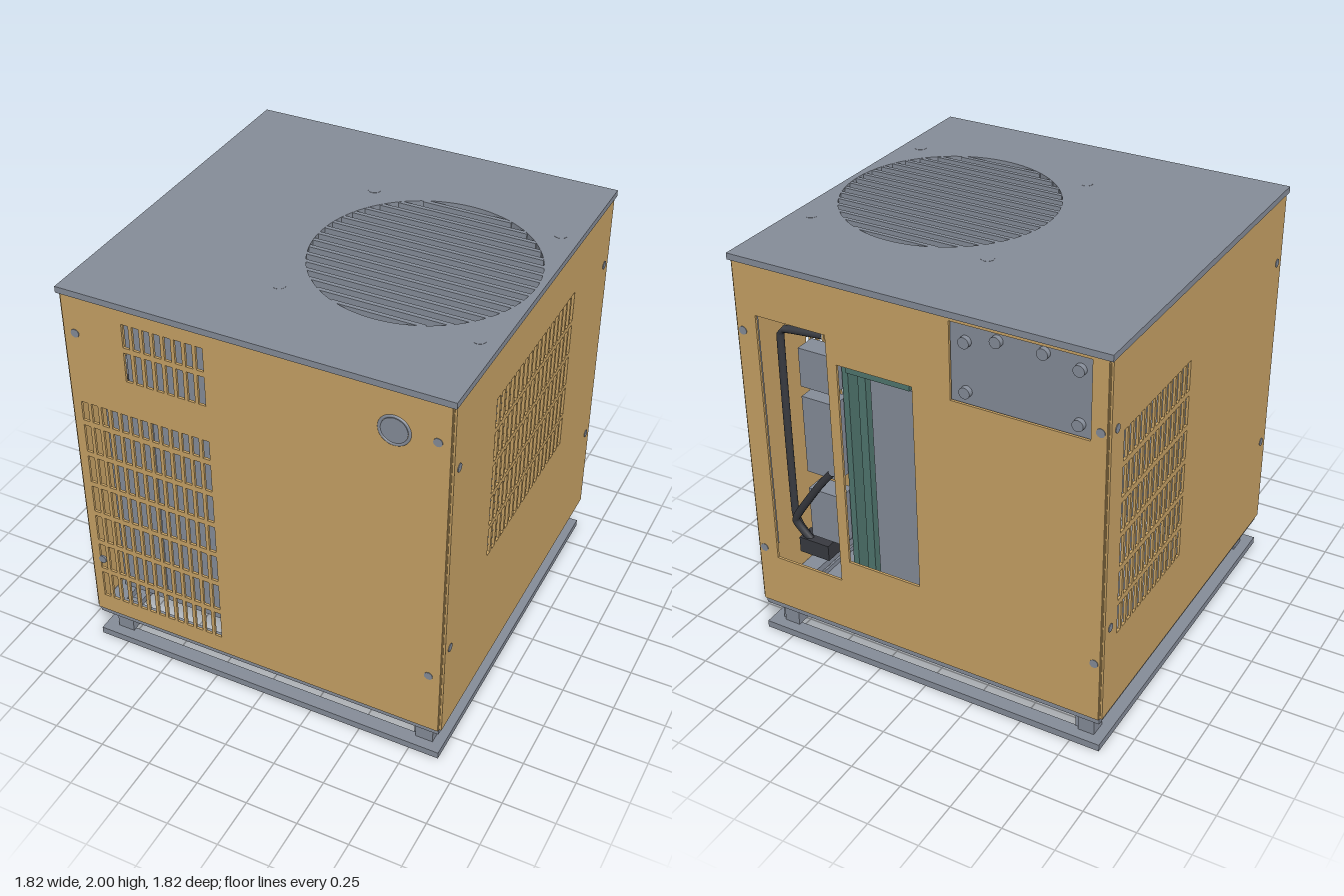
import * as THREE from 'three';

const mat = (name, color) => {
  const m = new THREE.MeshStandardMaterial({ color });
  m.name = name;
  return m;
};

export function createModel() {
  const ochre = mat('ochre panel', 0xc6a164);
  const grey = mat('steel grey', 0x858c98);
  const black = mat('black rubber', 0x383a40);
  const teal = mat('teal board', 0x4f756e);
  const model = new THREE.Group();

  const add = (name, geo, material, parent = model) => {
    const m = new THREE.Mesh(geo, material);
    m.name = name;
    parent.add(m);
    return m;
  };
  // box given by its minimum and maximum corners
  const box = (name, material, x0, x1, y0, y1, z0, z1, parent = model) => {
    const m = add(name, new THREE.BoxGeometry(x1 - x0, y1 - y0, z1 - z0), material, parent);
    m.position.set((x0 + x1) / 2, (y0 + y1) / 2, (z0 + z1) / 2);
    return m;
  };
  const rect = (path, x0, x1, y0, y1) => {
    path.moveTo(x0, y0);
    path.lineTo(x1, y0);
    path.lineTo(x1, y1);
    path.lineTo(x0, y1);
    path.closePath();
    return path;
  };
  // rows of upright slots; each row is [bottom, top]
  const slots = (u0, count, rows) => rows.flatMap(([b, t]) =>
    Array.from({ length: count }, (_, i) => [u0 + i * 0.0507, u0 + i * 0.0507 + 0.034, b, t]));
  const rowsUp = (y0, n, pitch, h) => Array.from({ length: n }, (_, i) => [y0 + i * pitch, y0 + i * pitch + h]);

  // flat case panel facing local +z, with rectangular holes and screws
  const T = 0.012, D = 0.904;
  const disc = (name, r, d, u, y, z, parent) => {
    const m = add(name, new THREE.CylinderGeometry(r, r, d, 24).rotateX(Math.PI / 2), grey, parent);
    m.position.set(u, y, z);
    return m;
  };
  const panel = (name, angle, holes, screws) => {
    const g = new THREE.Group();
    g.name = name;
    g.rotation.y = angle;
    const s = rect(new THREE.Shape(), -0.891, 0.891, 0.185, 1.97);
    for (const h of holes) s.holes.push(rect(new THREE.Path(), ...h));
    const geo = new THREE.ExtrudeGeometry(s, { depth: T, bevelEnabled: false });
    add(name + 'Sheet', geo.translate(0, 0, D - T), ochre, g);
    for (const [u, y] of screws) disc('screw', 0.02, 0.01, u, y, D - 0.002, g);
    model.add(g);
    return g;
  };

  // four case panels
  const corners = (u, ya, yb) => [[-u, ya], [u, ya], [-u, yb], [u, yb]];
  const front = panel('frontPanel', 0, [
    ...slots(-0.848, 13, [...rowsUp(0.28, 6, 0.174, 0.147), [1.325, 1.425]]),
    ...slots(-0.598, 8, [[1.61, 1.757], [1.783, 1.9]]),
  ], corners(0.836, 1.785, 0.51));
  panel('rightPanel', Math.PI / 2,
    slots(-0.463, 18, rowsUp(0.875, 5, 0.1745, 0.15)), corners(0.84, 1.64, 0.655));
  panel('leftPanel', -Math.PI / 2,
    slots(-0.775, 13, rowsUp(0.58, 6, 0.174, 0.147)), corners(0.84, 1.64, 0.655));
  const back = panel('backPanel', Math.PI, [
    [-0.79, -0.43, 0.455, 1.73],
    [-0.38, -0.005, 0.575, 1.6],
    [0.18, 0.82, 1.59, 1.955],
  ], corners(0.863, 1.64, 0.49));

  // round gauge on the front
  disc('gaugeFace', 0.06, 0.012, 0.65, 1.78, D - 0.003, front);
  add('gaugeRing', new THREE.TorusGeometry(0.067, 0.008, 8, 40), grey, front).position.set(0.65, 1.78, D - 0.003);

  // recessed terminal plate on the back
  box('terminalPlate', grey, 0.17, 0.83, 1.58, 1.96, 0.865, 0.88, back);
  for (const [u, y] of [[0.245, 1.87], [0.39, 1.91], [0.6, 1.915], [0.76, 1.885], [0.245, 1.64], [0.76, 1.64]])
    disc('terminalKnob', 0.026, 0.025, u, y, 0.891, back);

  // roof with a round fan grille of deep slats
  const cx = 0.375, cz = 0.03, R = 0.505;
  const roof = rect(new THREE.Shape(), -0.91, 0.91, -0.91, 0.91);
  roof.holes.push(new THREE.Path().absarc(cx, -cz, R, 0, Math.PI * 2, true));
  add('roof', new THREE.ExtrudeGeometry(roof, { depth: 0.03, bevelEnabled: false, curveSegments: 48 })
    .rotateX(-Math.PI / 2).translate(0, 1.97, 0), grey);
  for (let i = -8; i <= 8; i++) {
    const z = cz + i * 0.0575, half = Math.sqrt(R * R - (z - cz) ** 2) + 0.004;
    box('grilleSlat', grey, cx - half, cx + half, 1.95, 1.999, z - 0.01, z + 0.01);
  }
  for (const x of [-0.08, 0.82])
    for (const z of [-0.42, 0.485])
      add('roofScrew', new THREE.CylinderGeometry(0.03, 0.03, 0.008, 24), grey).position.set(x, 1.997, z);
  box('fanDeck', grey, -0.18, 0.885, 1.87, 1.885, -0.55, 0.6);

  // frames: upper base ring, ground ring, legs and corner posts
  const ring = (name, half, width, y0, y1) => {
    const s = rect(new THREE.Shape(), -half, half, -half, half);
    const k = half - width;
    s.holes.push(rect(new THREE.Path(), -k, k, -k, k));
    add(name, new THREE.ExtrudeGeometry(s, { depth: y1 - y0, bevelEnabled: false })
      .rotateX(-Math.PI / 2).translate(0, y0, 0), grey);
  };
  ring('baseRing', 0.89, 0.09, 0.15, 0.187);
  ring('groundRing', 0.895, 0.07, 0, 0.035);
  for (const sx of [-1, 1])
    for (const sz of [-1, 1]) {
      const leg = new THREE.Group();
      leg.name = 'leg';
      box('legPost', grey, -0.035, 0.05, 0.035, 0.15, -0.035, 0.05, leg);
      box('legFlange', grey, -0.05, 0.03, 0.035, 0.15, -0.05, 0.03, leg);
      leg.position.set(sx * 0.795, 0, sz * 0.795);
      model.add(leg);
      add('cornerPost', new THREE.BoxGeometry(0.02, 1.785, 0.02), ochre).position.set(sx * 0.885, 1.0775, sz * 0.885);
    }

  // underside: sliding tray with round cover, ribbed floor pan and hangers
  box('trayFloor', grey, -0.17, 0.82, 0.088, 0.1, -0.58, 0.42);
  for (const x of [-0.17, 0.81]) box('traySide', grey, x, x + 0.01, 0.08, 0.125, -0.58, 0.42);
  add('trayCover', new THREE.CylinderGeometry(0.42, 0.42, 0.008, 48), grey).position.set(0.32, 0.086, -0.06);
  box('trayHandle', grey, 0.22, 0.32, 0.092, 0.1, 0.42, 0.76);
  for (const x of [-0.16, -0.06, 0.4, 0.7])
    for (const z of [-0.48, 0.31]) box('trayHanger', grey, x - 0.01, x + 0.025, 0.125, 0.18, z - 0.022, z + 0.022);
  box('floorPan', grey, -0.8, 0.45, 0.175, 0.187, -0.5, 0.5);
  for (let i = 0; i < 4; i++)
    box('floorRib', grey, -0.62 + i * 0.11, -0.56 + i * 0.11, 0.152, 0.175, -0.48, 0.48);

  // inside, behind the front vents
  for (const [a, b] of [[-0.86, -0.635], [-0.612, -0.43], [-0.412, -0.16]])
    box('coolingCoil', grey, a, b, 0.19, 1.352, 0.55, 0.72);
  box('coilEnd', grey, -0.86, -0.81, 1.352, 1.45, 0.55, 0.72);
  box('coilHeader', black, -0.79, -0.18, 1.365, 1.415, 0.6, 0.66);
  box('controlBox', grey, -0.66, -0.16, 1.5, 1.93, 0.4, 0.8);

  // inside, behind the right vents and rear openings
  box('tealBoard', teal, 0.4, 0.43, 0.3, 1.64, -0.8, 0.42);
  box('sidePartition', grey, 0.4, 0.43, 0.2, 1.85, 0.42, 0.75);
  box('upperPartition', grey, 0.4, 0.43, 1.64, 1.85, -0.6, 0.42);
  box('middlePartition', black, -0.08, -0.06, 0.19, 1.62, -0.86, 0.3);
  box('rearColumn', grey, 0.04, 0.27, 0.5, 1.52, -0.82, -0.7);
  box('rearTealStrip', teal, 0.31, 0.35, 0.45, 1.62, -0.8, -0.74);
  box('rearTealBox', teal, 0.06, 0.38, 1.53, 1.6, -0.84, -0.68);
  for (const [y0, y1] of [[0.62, 0.88], [0.97, 1.36], [1.41, 1.6]])
    box('relay', grey, 0.44, 0.61, y0, y1, -0.86, -0.76);
  box('mountingRail', grey, 0.86, 0.88, 0.45, 1.73, -0.84, -0.8);
  box('hoseConnector', black, 0.52, 0.68, 0.51, 0.59, -0.87, -0.78);

  // pipes and hoses
  const pipe = (name, r, pts) => add(name, new THREE.TubeGeometry(
    new THREE.CatmullRomCurve3(pts.map(p => new THREE.Vector3(...p)), false, 'catmullrom', 0.2), 32, r, 10), black);
  pipe('upperPipe', 0.03, [[0.6, 1.66, 0.6], [0.6, 1.66, 0], [0.6, 1.66, -0.6]]);
  pipe('thinPipe', 0.01, [[0.6, 1.51, 0.4], [0.6, 1.51, 0], [0.6, 1.51, -0.5]]);
  pipe('slantedPipe', 0.022, [[0.55, 1.5, 0.52], [0.55, 1.19, 0.13], [0.55, 0.85, -0.25]]);
  pipe('lowerPipe', 0.022, [[0.55, 1.05, 0.53], [0.55, 0.85, 0.38], [0.55, 0.5, 0.1]]);
  pipe('rearHose', 0.018, [[0.5, 1.67, -0.82], [0.7, 1.65, -0.82], [0.73, 1.6, -0.82], [0.73, 0.68, -0.82], [0.65, 0.56, -0.82]]);
  pipe('rearLowerHose', 0.018, [[0.46, 1.02, -0.88], [0.54, 0.92, -0.88], [0.7, 0.68, -0.86], [0.62, 0.56, -0.84]]);

  return model;
}
